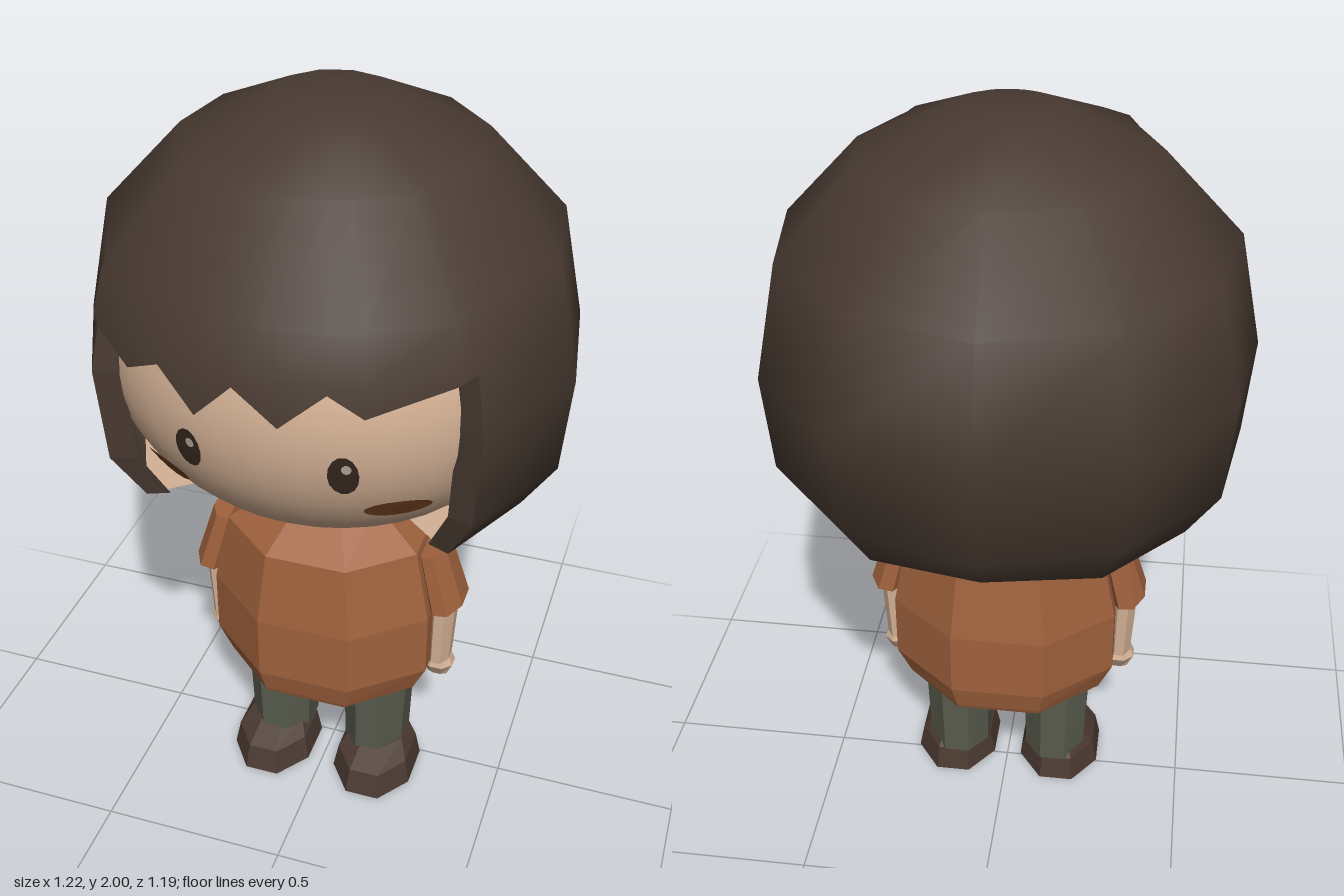
import * as THREE from 'three';

const V = (x, y, z) => new THREE.Vector3(x, y, z);
const mat = (name, color, side = THREE.FrontSide) => {
  const m = new THREE.MeshStandardMaterial({ color, side });
  m.name = name;
  return m;
};

// Surface from rows of points: rows run downwards, points run anticlockwise seen from above
function grid(rows, flat = true) {
  const n = rows[0].length, index = [];
  for (let i = 0; i < rows.length - 1; i++) {
    for (let j = 0; j < n - 1; j++) {
      const a = i * n + j, c = a + n;
      index.push(a, c, a + 1, a + 1, c, c + 1);
    }
  }
  let geo = new THREE.BufferGeometry().setFromPoints(rows.flat());
  geo.setIndex(index);
  if (flat) geo = geo.toNonIndexed();
  geo.computeVertexNormals();
  return geo;
}

// Capped, faceted eight-sided loft; each ring is [y, halfX, halfZ, centreX, centreZ]
function loft(rings) {
  const k = 1 / Math.cos(Math.PI / 8);
  const row = ([y, hx, hz, cx = 0, cz = 0], s = 1) => Array.from({ length: 9 }, (_, j) => {
    const a = (j + 0.5) * Math.PI / 4;
    return V(cx + Math.sin(a) * hx * k * s, y, cz + Math.cos(a) * hz * k * s);
  });
  return grid([row(rings[0], 0), ...rings.map(r => row(r)), row(rings.at(-1), 0)]);
}

export function createModel() {
  const model = new THREE.Group();
  const hair = mat('hair brown', 0x483a31, THREE.DoubleSide);
  const skin = mat('skin', 0xd4b195, THREE.DoubleSide);
  const cloth = mat('shirt rust', 0xa0623d);
  const green = mat('trouser green', 0x585b4c);
  const leather = mat('shoe brown', 0x4b3a32);
  const dark = mat('eye dark', 0x35281f);
  const shine = mat('eye shine', 0xb5a69b);
  const blush = mat('cheek brown', 0x70401f);
  const add = (name, geo, m) => {
    const mesh = new THREE.Mesh(geo, m);
    mesh.name = name;
    model.add(mesh);
    return mesh;
  };

  // Head
  const HX = 0.57, HY = 0.47, HZ = 0.53, CY = 1.38;
  add('head', new THREE.SphereGeometry(1, 36, 24).scale(HX, HY, HZ).translate(0, CY, 0), skin);

  // Face details, wrapped on to the head
  const decal = (name, x, y, rx, ry, lift, m) => {
    const geo = new THREE.CircleGeometry(1, 14).scale(rx, ry, 1).translate(x, y, 0);
    const p = geo.attributes.position;
    for (let i = 0; i < p.count; i++) {
      const u = p.getX(i) / HX, v = (p.getY(i) - CY) / HY;
      p.setZ(i, HZ * Math.sqrt(1 - u * u - v * v) + lift);
    }
    geo.computeVertexNormals();
    add(name, geo, m);
  };
  for (const s of [1, -1]) {
    const side = s > 0 ? 'left' : 'right';
    decal(side + 'Eye', s * 0.183, 1.305, 0.034, 0.056, 0.006, dark);
    decal(side + 'EyeShine', s * 0.183 + 0.009, 1.328, 0.011, 0.013, 0.01, shine);
    decal(side + 'Cheek', s * 0.283, 1.177, 0.07, 0.031, 0.008, blush);
  }

  // Hair: a bob with eight broad facets round the back and a finer fringe in front
  const XS = 1.035, END = 1.5 * 2 * Math.PI / 11;
  const at = (a, r, y) => V(Math.sin(a) * r * XS, y, Math.cos(a) * r);
  const roundNormals = geo => {
    const p = geo.attributes.position, n = geo.attributes.normal;
    for (let i = 0; i < p.count; i++) {
      const d = V(p.getX(i) / 0.38, (p.getY(i) - 1.4) / 0.36, p.getZ(i) / 0.36).normalize();
      n.setXYZ(i, d.x, d.y, d.z);
    }
    return geo;
  };
  const profile = [[0, 2], [0.13, 1.985], [0.35, 1.885], [0.537, 1.68], [0.597, 1.39], [0.577, 1.14], [0.495, 1.01]];
  const angles = Array.from({ length: 9 }, (_, j) => END + j * 2 * Math.PI / 11);
  const backRows = profile.map(([r, y], i) => angles.map((a, j) =>
    at(a, r, y + (i === 6 && (j === 4) ? 0.02 : 0))));
  add('hairBack', roundNormals(grid(backRows, false)), hair);

  // Underside between the hair edge and the head
  const hem = backRows.at(-1);
  add('nape', grid([hem, hem.map(p => V(p.x * 0.62, p.y, p.z * 0.62))]), skin);

  // Fringe: [x, y] of the ragged edge
  const ragged = [[-0.42, 1.54], [-0.315, 1.495], [-0.22, 1.545], [-0.13, 1.45], [-0.035, 1.545],
    [0.065, 1.46], [0.17, 1.55], [0.245, 1.49], [0.42, 1.54]];
  const cols = [[-END, 1.54], ...ragged.map(([x, y]) => [Math.asin(x / 0.615), y]), [END, 1.54]];
  const isEnd = a => Math.abs(a) === END;
  const fringe = [[0, 0, 2], [0.13, 0.13, 1.985], [0.35, 0.37, 1.885], [0.537, 0.567, 1.68], [0.558, 0.596, 1.58]]
    .map(([re, rm, y]) => cols.map(([a]) => at(a, isEnd(a) ? re : rm, y)));
  const edge = cols.map(([a, y]) => at(a, isEnd(a) ? 0.566 : 0.59, y));
  add('fringe', roundNormals(grid([...fringe, edge], false)), hair);
  add('fringeEdge', grid([edge, cols.map(([a, y]) => at(a, 0.49, y + 0.02))]), hair);

  // Thick front edges of the side hair
  for (const s of [1, -1]) {
    const outer = profile.slice(3).map(([r, y]) => at(s * END, r, y));
    const inner = outer.map(p => V(p.x * 0.86, p.y, p.z * 0.93));
    const rows = outer.map((p, i) => s > 0 ? [inner[i], p] : [p, inner[i]]);
    add(s > 0 ? 'leftHairEdge' : 'rightHairEdge', grid(rows), hair);
  }

  // Shirt
  add('shirt', loft([
    [0.92, 0.135, 0.105, 0, 0.025], [0.82, 0.26, 0.22, 0, 0.025], [0.62, 0.3, 0.25, 0, 0.025],
    [0.44, 0.3, 0.25, 0, 0.025], [0.375, 0.27, 0.235, 0, 0.025], [0.362, 0.265, 0.23, 0, 0.025],
  ]), cloth);
  add('hips', loft([[0.37, 0.25, 0.215, 0, 0.025], [0.359, 0.25, 0.215, 0, 0.025]]), green);

  // Limbs
  for (const s of [1, -1]) {
    const side = s > 0 ? 'left' : 'right';
    const sleeve = loft([[0.805, 0.04, 0.07, 0.285, 0.03], [0.63, 0.047, 0.09, 0.33, 0.03]]);
    const p = sleeve.attributes.position;
    for (let i = 0; i < p.count; i++) {
      // tilt the cuff, then mirror by side
      p.setY(i, p.getY(i) + (p.getX(i) - 0.31) * 0.15);
    }
    if (s < 0) sleeve.rotateY(Math.PI).translate(0, 0, 0.06);
    sleeve.computeVertexNormals();
    add(side + 'Sleeve', sleeve, cloth);
    add(side + 'Arm', loft([[0.67, 0.036, 0.055, s * 0.323, 0.033], [0.43, 0.03, 0.048, s * 0.315, 0.033]]), skin);
    add(side + 'Hand', loft([[0.44, 0.027, 0.03, s * 0.315, 0.033], [0.405, 0.042, 0.04, s * 0.314, 0.033],
      [0.36, 0.026, 0.012, s * 0.312, 0.033]]), skin);
    add(side + 'Leg', loft([[0.38, 0.092, 0.108, s * 0.143, 0.03], [0.07, 0.083, 0.105, s * 0.14, 0.028]]), green);
    add(side + 'Shoe', loft([[0.108, 0.075, 0.085, s * 0.152, 0.04], [0.07, 0.1, 0.137, s * 0.152, 0.065],
      [0, 0.113, 0.153, s * 0.152, 0.068]]), leather);
  }
  return model;
}
